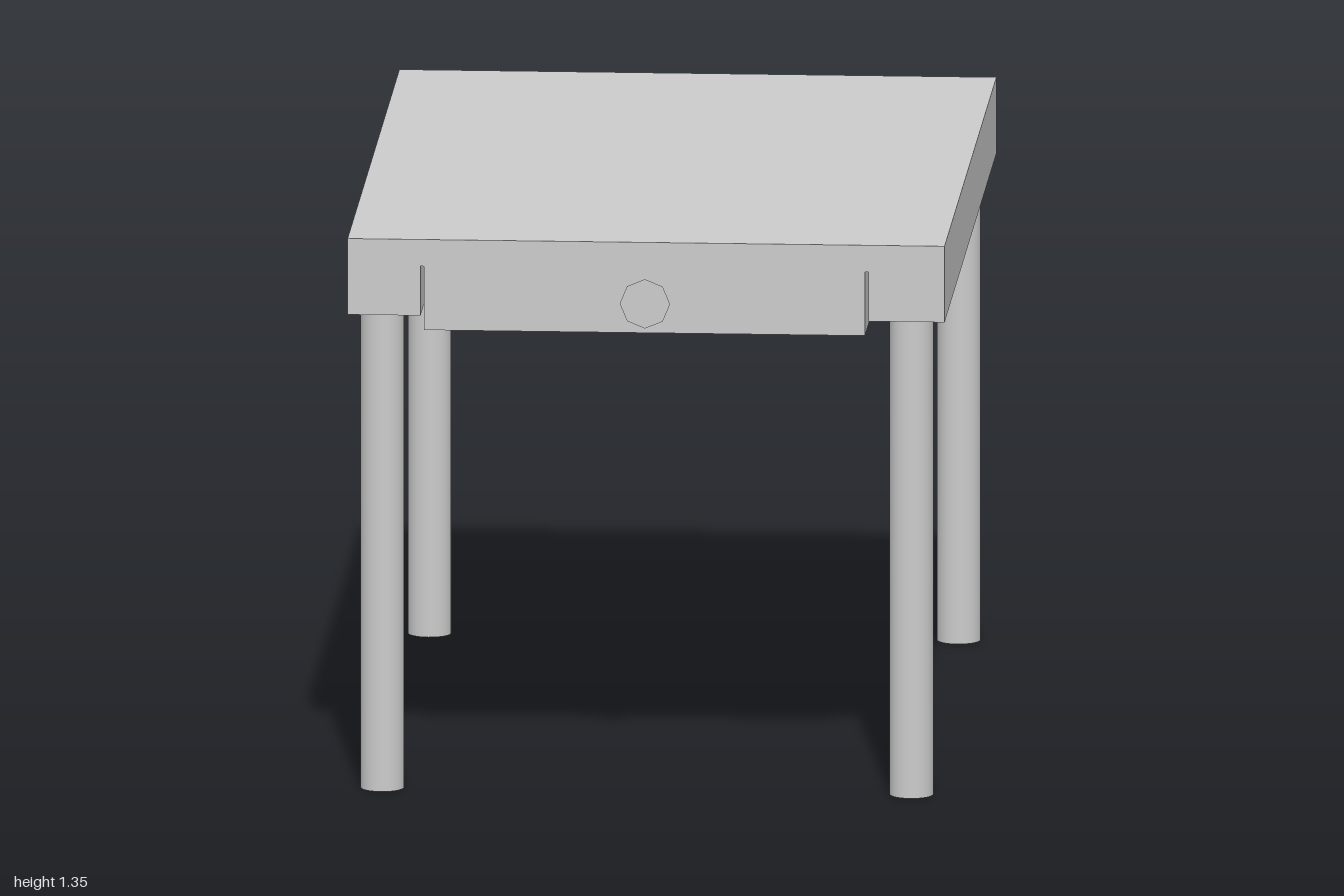
import * as THREE from 'three';

const BACK = -1, FRONT = 0.955;

export function createModel() {
  const group = new THREE.Group();
  const flat = new THREE.MeshStandardMaterial({ color: 0xcccccc, flatShading: true });
  const smooth = new THREE.MeshStandardMaterial({ color: 0xcccccc, side: THREE.DoubleSide });

  const add = (name, geometry, material, x, y, z) => {
    const mesh = new THREE.Mesh(geometry, material);
    mesh.name = name;
    mesh.position.set(x, y, z);
    group.add(mesh);
    return mesh;
  };

  // Table top and drawer: one front profile with a narrow slot on each side of the drawer
  const profile = new THREE.Shape([
    [-0.712, 1.35], [-0.712, 1.165],
    [-0.538, 1.165], [-0.538, 1.285], [-0.53, 1.285], [-0.53, 1.13],
    [0.522, 1.13], [0.522, 1.285], [0.53, 1.285], [0.53, 1.165],
    [0.712, 1.165], [0.712, 1.35],
  ].map(([x, y]) => new THREE.Vector2(x, y)));
  const top = new THREE.ExtrudeGeometry(profile, { depth: FRONT - BACK, bevelEnabled: false });
  add('tableTopWithDrawer', top, flat, 0, 0, BACK);

  // Round tubular legs, open at the ends
  const legHeight = 1.165;
  const leg = new THREE.CylinderGeometry(0.052, 0.052, legHeight, 32, 1, true);
  for (const [side, x] of [['Left', 0.628], ['Right', -0.634]]) {
    add(`front${side}Leg`, leg, smooth, x, legHeight / 2, 0.877);
    add(`back${side}Leg`, leg, smooth, x, legHeight / 2, -0.908);
  }

  // Eight-sided drawer knob, flaring towards the front
  const knob = new THREE.CylinderGeometry(0.06, 0.032, 1 - FRONT, 8);
  knob.rotateX(Math.PI / 2);
  add('drawerKnob', knob, flat, 0, 1.21, (1 + FRONT) / 2);

  return group;
}
